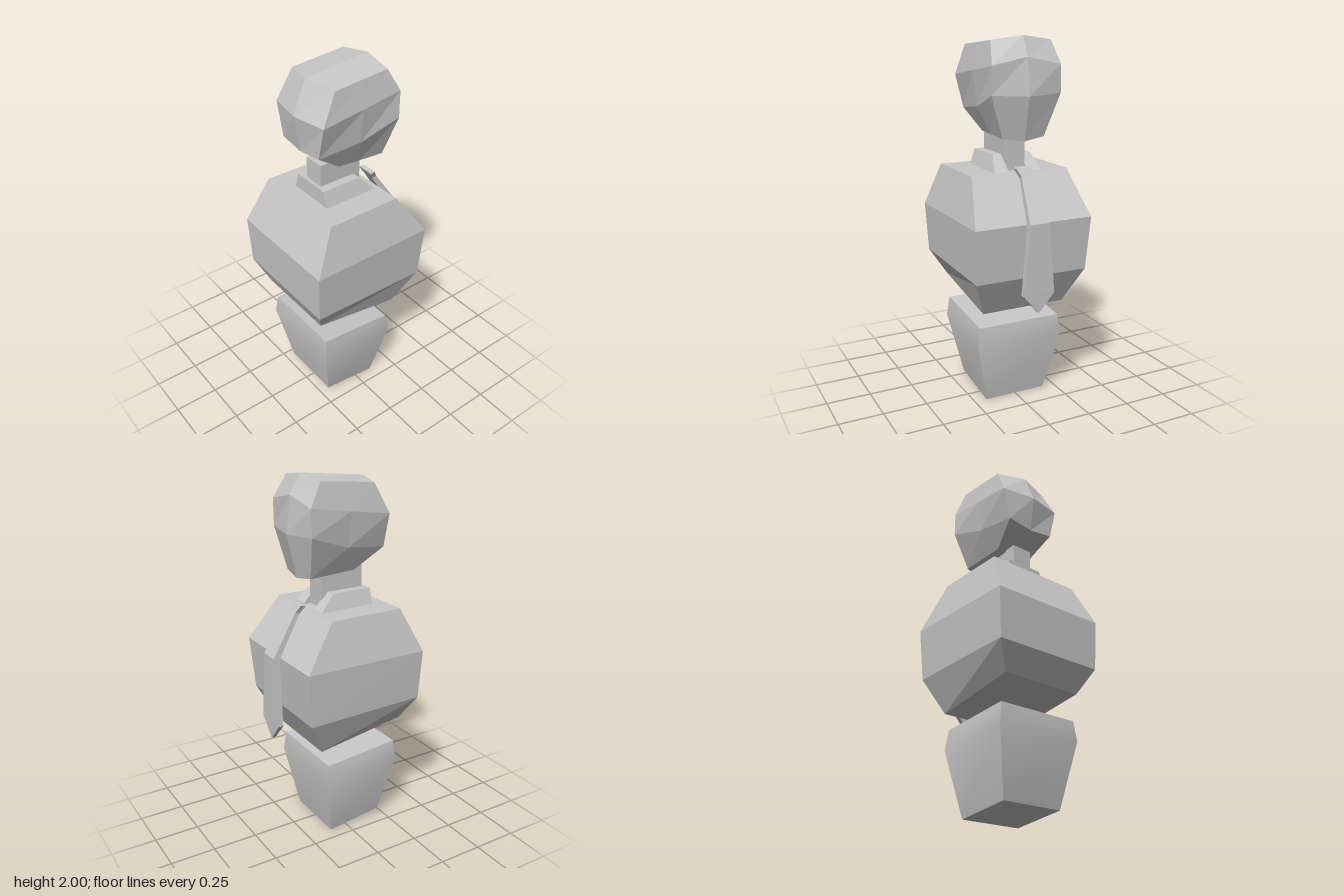
import * as THREE from 'three';
import { toCreasedNormals } from 'three/addons/utils/BufferGeometryUtils.js';

// Closed solid through rings listed bottom to top, each counterclockwise from above
function loft(rings, crease = 0) {
  const pos = [];
  const tri = (a, b, c) => pos.push(...a, ...b, ...c);
  const n = rings[0].length;
  for (let r = 0; r < rings.length - 1; r++) {
    const lo = rings[r], hi = rings[r + 1];
    for (let i = 0; i < n; i++) {
      const j = (i + 1) % n;
      tri(lo[i], lo[j], hi[j]);
      tri(lo[i], hi[j], hi[i]);
    }
  }
  const bottom = rings[0], top = rings[rings.length - 1];
  for (let i = 1; i < n - 1; i++) {
    tri(bottom[0], bottom[i + 1], bottom[i]);
    tri(top[0], top[i], top[i + 1]);
  }
  const geometry = new THREE.BufferGeometry();
  geometry.setAttribute('position', new THREE.Float32BufferAttribute(pos, 3));
  geometry.computeVertexNormals();
  return crease ? toCreasedNormals(geometry, crease) : geometry;
}

// Four-cornered ring: half width, then height and depth of its front and back edges
const quad = ([w, yF, zF, yB, zB]) => [[-w, yF, zF], [w, yF, zF], [w, yB, zB], [-w, yB, zB]];

// Eight-point mirrored ring: front centre, front side, middle side, back side, back centre
const octo = ([fc, fs, m, bs, bc]) => {
  const flip = ([x, y, z]) => [-x, y, z];
  return [fc, fs, m, bs, bc, flip(bs), flip(m), flip(fs)];
};

export function createModel() {
  const group = new THREE.Group();
  const grey = new THREE.MeshStandardMaterial({ color: 0xc8c8c8 });
  grey.name = 'plain grey';
  const add = (name, geometry) => {
    const mesh = new THREE.Mesh(geometry, grey);
    mesh.name = name;
    group.add(mesh);
    return mesh;
  };

  // Hips, with a softened upper edge
  add('hips', loft([
    [0.18, 0.04, 0.215, 0, -0.105],
    [0.255, 0.39, 0.282, 0.35, -0.17],
    [0.24, 0.5, 0.272, 0.46, -0.158],
  ].map(quad), 0.45));

  // Barrel-shaped torso
  add('torso', loft([
    [0.24, 0.64, 0.305, 0.56, -0.2],
    [0.323, 0.78, 0.37, 0.765, -0.305],
    [0.338, 1.055, 0.38, 1.06, -0.33],
    [0.28, 1.3, 0.26, 1.3, -0.16],
  ].map(quad)));

  // Collar: front band and two side wedges, open at the back
  add('collarFront', loft([
    [0.14, 1.295, 0.18, 1.295, 0.15],
    [0.11, 1.385, 0.18, 1.385, 0.15],
  ].map(quad)));
  for (const side of [1, -1]) {
    const wedge = (xOut, y, zF, zB) => {
      const [a, b] = side > 0 ? [0.055, xOut] : [-xOut, -0.055];
      return [[a, y, zF], [b, y, zF], [b, y, zB], [a, y, zB]];
    };
    add(side > 0 ? 'collarLeft' : 'collarRight',
      loft([wedge(0.14, 1.295, 0.18, -0.14), wedge(0.11, 1.385, 0.18, -0.05)]));
  }

  // Neck
  const neck = add('neck', new THREE.BoxGeometry(0.12, 0.21, 0.25));
  neck.position.set(0, 1.4, 0.035);

  // Faceted head with a centre ridge front and back
  add('head', loft([
    [[0, 1.485, 0.08], [0.11, 1.498, 0.08], [0.115, 1.492, -0.04], [0.12, 1.486, -0.19], [0, 1.468, -0.205]],
    [[0, 1.59, 0.237], [0.15, 1.61, 0.235], [0.175, 1.635, 0], [0.198, 1.71, -0.225], [0, 1.7, -0.257]],
    [[0, 1.79, 0.27], [0.195, 1.79, 0.236], [0.197, 1.822, 0], [0.195, 1.855, -0.228], [0, 1.895, -0.235]],
    [[0, 1.965, 0.197], [0.172, 1.95, 0.153], [0.172, 1.963, 0], [0.172, 1.976, -0.16], [0, 2, -0.18]],
  ].map(octo)));

  // Necktie hanging over the back side of the torso
  add('tie', loft([
    [0.004, 0.59, -0.352, 0.59, -0.376],
    [0.09, 0.69, -0.35, 0.69, -0.378],
    [0.056, 1.062, -0.343, 1.07, -0.378],
    [0.03, 1.28, -0.207, 1.29, -0.232],
  ].map(quad)));
  add('tieKnot', loft([
    [0.03, 1.28, -0.207, 1.29, -0.232],
    [0.048, 1.325, -0.178, 1.33, -0.207],
    [0.04, 1.335, -0.176, 1.34, -0.2],
  ].map(quad)));

  return group;
}
